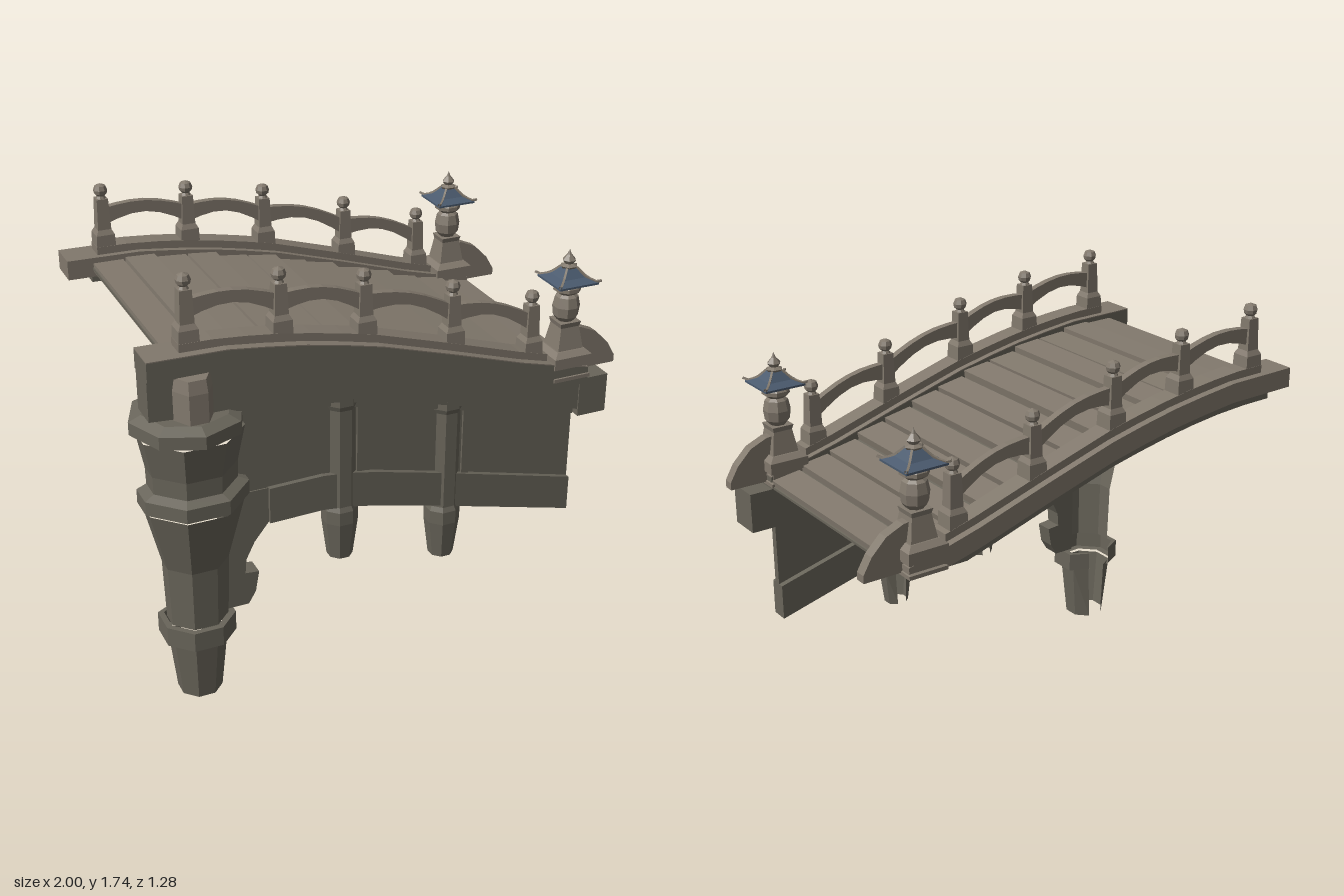
import * as THREE from 'three';

const stone = new THREE.MeshStandardMaterial({ color: 0x82796d, side: THREE.DoubleSide });
stone.name = 'warm stone';
const darkStone = new THREE.MeshStandardMaterial({ color: 0x69655a, side: THREE.DoubleSide });
darkStone.name = 'dark stone';
const slate = new THREE.MeshStandardMaterial({ color: 0x4a5a6e, side: THREE.DoubleSide });
slate.name = 'blue slate';

// Piecewise-linear curve through [x, y] points
const curve = pts => x => {
  let i = 0;
  while (i < pts.length - 2 && x > pts[i + 1][0]) i++;
  const [a, b] = [pts[i], pts[i + 1]];
  return a[1] + (b[1] - a[1]) * (x - a[0]) / (b[0] - a[0]);
};
const beamTop = curve([[-0.95, 1.455], [-0.65, 1.45], [-0.4, 1.42], [-0.1, 1.36], [0.25, 1.255], [0.6, 1.145], [0.94, 1.065]]);
const beamBottom = curve([[-0.95, 1.225], [-0.6, 1.2], [-0.25, 1.16], [0.1, 1.08], [0.4, 1.0], [0.94, 0.877]]);
const wallBottom = curve([[-0.5, 0.695], [-0.26, 0.7], [-0.12, 0.68], [0.2, 0.6], [0.805, 0.44]]);

// Faceted mesh
function add(parent, name, geo, mat, x = 0, y = 0, z = 0) {
  const g = geo.index ? geo.toNonIndexed() : geo;
  g.computeVertexNormals();
  const m = new THREE.Mesh(g, mat);
  m.name = name;
  m.position.set(x, y, z);
  parent.add(m);
  return m;
}

// Outline in x/y given a thickness from z0 to z1
function slab(points, z0, z1) {
  const shape = new THREE.Shape(points.map(p => new THREE.Vector2(p[0], p[1])));
  return new THREE.ExtrudeGeometry(shape, { depth: z1 - z0, bevelEnabled: false }).translate(0, 0, z0);
}

// Curved band between two height functions
function band(x0, x1, lower, upper, z0, z1, n = 12) {
  const low = [], high = [];
  for (let i = 0; i <= n; i++) {
    const x = x0 + (x1 - x0) * i / n;
    low.push([x, lower(x)]);
    high.unshift([x, upper(x)]);
  }
  return slab([...low, ...high], z0, z1);
}

// Turned profile of [half width, y], with flat sides facing front
function turned(profile, sides) {
  const k = 1 / Math.cos(Math.PI / sides);
  return new THREE.LatheGeometry(profile.map(p => new THREE.Vector2(p[0] * k, p[1])), sides, Math.PI / sides);
}

// Front faces of an octagonal pier, open behind and cut off at z = back
function pier(profile, back, faces = 5) {
  const k = 1 / Math.cos(Math.PI / 8), sweep = faces * Math.PI / 4;
  const g = new THREE.LatheGeometry(profile.map(p => new THREE.Vector2(p[0] * k, p[1])), faces, -sweep / 2, sweep);
  const pos = g.attributes.position;
  for (let i = 0; i < pos.count; i++) pos.setZ(i, Math.max(pos.getZ(i), back));
  return g;
}

function lantern(x, z) {
  const g = new THREE.Group();
  g.name = 'lantern';
  g.position.set(x, 0, z);
  add(g, 'lanternPlinth', turned([[0, 1.05], [0.08, 1.05], [0.08, 1.065], [0.068, 1.07], [0.068, 1.1], [0.082, 1.105], [0.082, 1.15], [0.06, 1.17], [0, 1.17]], 4), stone);
  add(g, 'lanternPedestal', turned([[0.055, 1.17], [0.05, 1.2], [0.04, 1.26], [0.045, 1.28], [0, 1.28]], 4), stone);
  add(g, 'lanternBody', turned([[0.03, 1.28], [0.045, 1.3], [0.05, 1.34], [0.042, 1.38], [0.03, 1.39], [0.05, 1.405], [0.05, 1.42], [0.035, 1.44]], 8), stone);
  add(g, 'lanternRoof', turned([[0, 1.43], [0.085, 1.442], [0.085, 1.45], [0.05, 1.465], [0.022, 1.5], [0, 1.5]], 4), slate);
  add(g, 'lanternFinial', turned([[0.02, 1.49], [0.03, 1.505], [0.014, 1.513], [0.024, 1.528], [0.008, 1.55], [0, 1.572]], 6), stone);
  // Upturned roof ridges
  for (let i = 0; i < 4; i++) {
    const a = Math.PI / 4 + i * Math.PI / 2;
    const path = new THREE.CatmullRomCurve3([[0.03, 1.5], [0.07, 1.468], [0.115, 1.453], [0.13, 1.46]]
      .map(([r, y]) => new THREE.Vector3(r * Math.cos(a), y, r * Math.sin(a))));
    add(g, 'roofRidge', new THREE.TubeGeometry(path, 5, 0.006, 4), stone);
  }
  return g;
}

function balustrade(z) {
  const g = new THREE.Group();
  g.name = 'balustrade';
  add(g, 'kerb', band(-0.82, 0.67, x => beamTop(x) - 0.01, x => beamTop(x) + 0.035, z - 0.04, z + 0.04), stone);
  const posts = [[-0.78, 1.737], [-0.43, 1.7], [-0.1, 1.64], [0.265, 1.532], [0.61, 1.43]];
  posts.forEach(([x, top], i) => {
    const base = beamTop(x);
    add(g, 'post', turned([[0.04, base], [0.037, base + 0.08], [0.027, base + 0.1], [0.023, top - 0.06], [0, top - 0.06]], 4), stone, x, 0, z);
    add(g, 'postFinial', turned([[0.02, top - 0.062], [0.014, top - 0.05], [0.023, top - 0.041], [0.026, top - 0.026], [0.02, top - 0.009], [0, top]], 8), stone, x, 0, z);
    // Arched handrail to the next post
    if (i === posts.length - 1) return;
    const [x2, top2] = posts[i + 1];
    const line = q => top - 0.1 + (top2 - top) * (q - x) / (x2 - x);
    const bulge = q => Math.sin(Math.PI * (q - x) / (x2 - x));
    add(g, 'handrail', band(x, x2, q => line(q) - 0.07 + 0.052 * bulge(q), q => line(q) + 0.028 * bulge(q), z - 0.015, z + 0.015, 6), stone);
  });
  // Scrolled end stop beyond the lantern
  add(g, 'endStop', slab([[0.78, 1.06], [0.995, 1.06], [0.995, 1.09], [0.96, 1.15], [0.9, 1.21], [0.83, 1.24], [0.78, 1.245]], z - 0.025, z + 0.018), stone);
  g.add(lantern(0.765, z));
  return g;
}

export function createModel() {
  const bridge = new THREE.Group();
  bridge.name = 'bridge';

  // Deck with stepped planks
  const deck = new THREE.Group();
  deck.name = 'deck';
  bridge.add(deck);
  add(deck, 'deckBase', band(-0.85, 0.84, x => beamTop(x) - 0.045, x => beamTop(x) - 0.035, -0.5, 0.4), darkStone);
  const count = 13, step = 1.69 / count;
  for (let i = 0; i < count; i++) {
    const x = -0.85 + step * (i + 0.5);
    const slope = (beamTop(x + 0.06) - beamTop(x - 0.06)) / 0.12;
    const plank = add(deck, 'plank', new THREE.BoxGeometry(step - 0.009, 0.036, 0.91), stone, x, beamTop(x) - 0.036 + (i % 2) * 0.006, -0.05);
    plank.rotation.z = slope * 0.6;
  }

  // Edge beams: a deep one in front, a shallow one behind
  const mid = x => beamTop(x) - 0.075;
  add(bridge, 'frontBeamUpper', band(-0.95, 0.84, mid, beamTop, 0.38, 0.52), darkStone);
  add(bridge, 'frontBeamLower', band(-0.95, 0.84, beamBottom, mid, 0.39, 0.51), darkStone);
  add(bridge, 'frontBeamEnd', new THREE.BoxGeometry(0.126, 0.163, 0.135), darkStone, 0.873, 0.9585, 0.4475);
  add(bridge, 'frontBeamCap', band(-0.95, 0.84, beamTop, x => beamTop(x) + 0.004, 0.38, 0.52), stone);
  add(bridge, 'backBeam', band(-0.95, 0.84, x => Math.max(mid(x), 1.05), x => beamTop(x) + 0.004, -0.615, -0.48), stone);
  add(bridge, 'backBeamMoulding', band(-0.85, 0.72, x => Math.max(mid(x) - 0.03, 1.045), mid, -0.6, -0.5), darkStone);
  bridge.add(balustrade(0.445), balustrade(-0.545));

  // Side wall with raised frame
  const wall = new THREE.Group();
  wall.name = 'sideWall';
  bridge.add(wall);
  const sill = x => wallBottom(x) + 0.148;
  const under = x => beamBottom(x) + 0.02;
  add(wall, 'wallPanel', band(-0.62, 0.805, x => wallBottom(Math.max(x, -0.5)) + 0.1, under, 0.445, 0.475, 16), darkStone);
  add(wall, 'wallSill', band(-0.5, 0.805, wallBottom, sill, 0.42, 0.495), darkStone);
  add(wall, 'wallTopRail', band(-0.62, 0.805, x => beamBottom(x) - 0.03, under, 0.435, 0.485), darkStone);
  for (const x of [-0.125, 0.325])
    add(wall, 'wallStile', band(x - 0.015, x + 0.015, sill, under, 0.435, 0.485, 1), darkStone);
  // Curved bracket where the wall meets the pillar
  add(wall, 'archBracket', slab([[-0.68, 0.35], [-0.59, 0.35], [-0.56, 0.4], [-0.545, 0.485], [-0.6, 0.49], [-0.595, 0.55], [-0.56, 0.62], [-0.5, 0.695], [-0.5, 0.84], [-0.68, 0.84]], 0.405, 0.48), darkStone);
  // Hanging pilasters
  for (const [x, y] of [[-0.195, 0.46], [0.25, 0.352]])
    add(wall, 'pilaster', pier([[0.047, y], [0.066, y + 0.16], [0.066, y + 0.215], [0.058, y + 0.235], [0.058, under(x) - 0.06], [0.066, under(x) - 0.04], [0.066, under(x)]], -0.045, 7), darkStone, x, 0, 0.445);

  // Corner pillar, open behind
  const pillar = new THREE.Group();
  pillar.name = 'cornerPillar';
  pillar.position.set(-0.785, 0, 0.433);
  bridge.add(pillar);
  add(pillar, 'pillarFoot', pier([[0.08, 0], [0.105, 0.247]], -0.08, 7), darkStone);
  add(pillar, 'pillarRing', pier([[0.105, 0.258], [0.137, 0.258], [0.137, 0.338], [0.115, 0.338]], -0.098, 7), darkStone);
  add(pillar, 'pillarShaft', pier([[0.112, 0.338], [0.12, 0.59], [0.182, 0.845]], -0.02), darkStone);
  add(pillar, 'pillarCollar', pier([[0.18, 0.86], [0.198, 0.86], [0.198, 0.915], [0.16, 0.93], [0.162, 1.0], [0.19, 1.145]], -0.02), darkStone);
  // Cap turned so a corner points forward
  const cap = turned([[0.17, 1.145], [0.199, 1.145], [0.199, 1.195], [0.155, 1.215], [0, 1.215]], 8).rotateY(Math.PI / 8);
  add(pillar, 'pillarCap', cap, darkStone, 0, 0, -0.01);
  // Block standing on the cap, with bevelled cheeks
  const block = pier([[0.135, 1.21], [0.135, 1.33], [0.125, 1.38], [0, 1.38]], 0).scale(0.63, 1, 1.06);
  add(pillar, 'capBlock', block, stone);

  return bridge;
}
